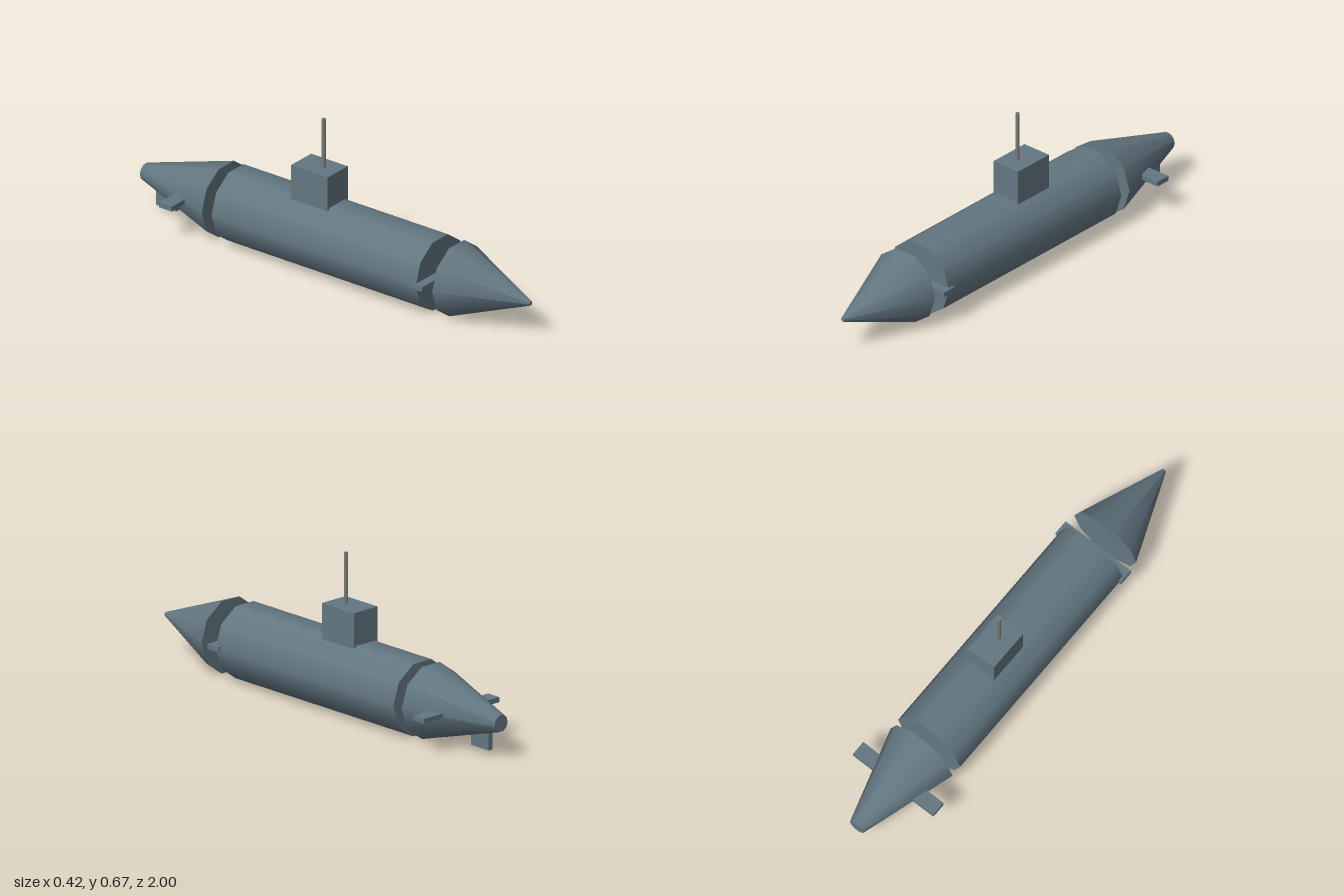
import * as THREE from 'three';

const AXIS_Y = 0.156;   // height of the hull centre line
const HULL_R = 0.163;

export function createModel() {
  const model = new THREE.Group();
  model.name = 'submarine';
  const hullMat = new THREE.MeshStandardMaterial({ color: 0x637781 });
  const mastMat = new THREE.MeshStandardMaterial({ color: 0x7c7c76 });

  function add(name, geometry, x, y, z, material = hullMat) {
    const mesh = new THREE.Mesh(geometry, material);
    mesh.name = name;
    mesh.position.set(x, y, z);
    model.add(mesh);
  }

  // Ten-sided hull section lying along z, flat on top and bottom
  function section(name, frontR, backR, zFront, zBack) {
    const g = new THREE.CylinderGeometry(frontR, backR, zFront - zBack, 10, 1, false, Math.PI / 2);
    g.rotateX(Math.PI / 2);
    add(name, g, 0, AXIS_Y, (zFront + zBack) / 2);
  }

  // Box given by its extents on each axis
  function box(name, [x0, x1], [y0, y1], [z0, z1]) {
    add(name, new THREE.BoxGeometry(x1 - x0, y1 - y0, z1 - z0),
      (x0 + x1) / 2, (y0 + y1) / 2, (z0 + z1) / 2);
  }

  // Hull: three sections with open gaps between them
  section('noseCone', 0.009, HULL_R, 1, 0.615);
  section('mainHull', HULL_R, HULL_R, 0.53, -0.53);
  section('tailCone', HULL_R, 0.037, -0.58, -1);

  // Conning tower and six-sided periscope
  box('conningTower', [-0.067, 0.067], [0.3, 0.454], [-0.192, -0.002]);
  add('periscope', new THREE.CylinderGeometry(0.009, 0.009, 0.23, 6, 1, false, Math.PI / 2),
    0, 0.56, -0.075, mastMat);

  // Diving planes run straight through the hull
  box('bowPlanes', [-0.172, 0.172], [0.145, 0.167], [0.505, 0.57]);
  box('sternPlanes', [-0.212, 0.211], [0.145, 0.167], [-0.765, -0.698]);

  // Rudder under the tail
  box('rudder', [-0.011, 0.011], [0.027, 0.15], [-0.937, -0.832]);

  return model;
}
